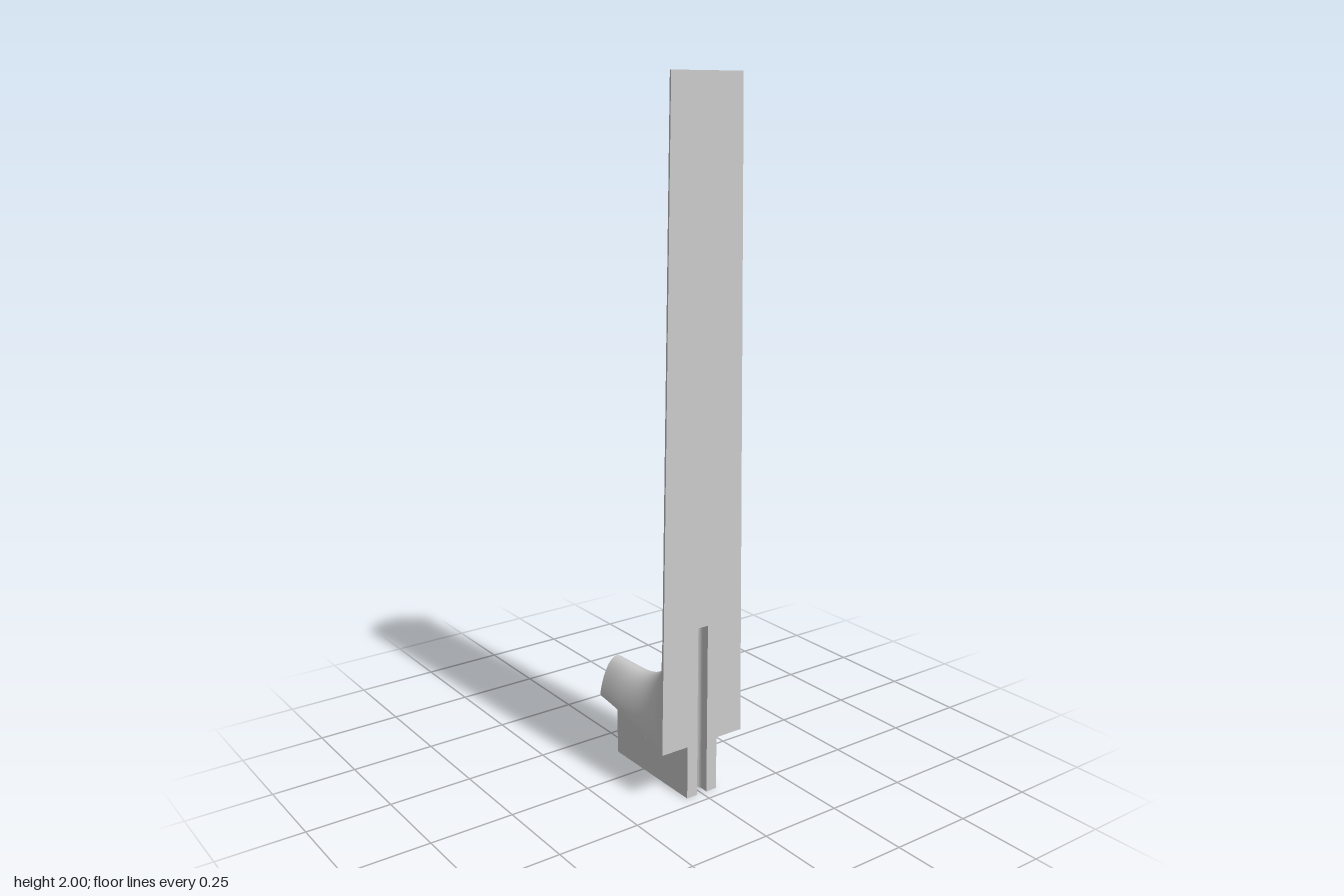
import * as THREE from 'three';

const FRONT = 0.215, BACK = -0.215, SOLE = 0.16, TOP = 2;
const SLOT = { half: 0.017, depth: 0.04, top: 0.51 };
const material = new THREE.MeshStandardMaterial({ color: 0xcccccc, side: THREE.DoubleSide });

// Half widths of the blade (by height) and of the foot (by depth)
const bladeHalf = (y) => 0.14 - 0.025 * (y - SOLE) / (TOP - SOLE);
const footHalf = (z) => {
  const t = (z - BACK) / (FRONT - BACK);
  return 0.062 + 0.045 * t + 0.033 * t * t;
};

// Surface through rows of points
function loft(rows) {
  const n = rows[0].length, index = [];
  for (let i = 0; i < rows.length - 1; i++) {
    for (let j = 0; j < n - 1; j++) {
      const a = i * n + j, b = a + n;
      index.push(a, b, b + 1, a, b + 1, a + 1);
    }
  }
  const g = new THREE.BufferGeometry().setFromPoints(rows.flat());
  g.setIndex(index);
  g.computeVertexNormals();
  return g;
}

// Arched section from a base point (y, z) to a ridge point (y, z)
function arch(half, by, bz, ry, rz) {
  const pts = [];
  for (let j = 0; j <= 40; j++) {
    const a = Math.PI * j / 40;
    const h = Math.pow(Math.max(0, Math.sin(a)), 1.5);
    pts.push(new THREE.Vector3(half * Math.cos(a), by + (ry - by) * h, bz + (rz - bz) * h));
  }
  return pts;
}

// Round-bottomed slot outline in (x, z), from -x to +x
function slotPath() {
  const { half, depth } = SLOT, pts = [new THREE.Vector2(-half, FRONT)];
  for (let i = 0; i <= 12; i++) {
    const a = Math.PI * i / 12;
    pts.push(new THREE.Vector2(-half * Math.cos(a), FRONT - depth + half - half * Math.sin(a)));
  }
  pts.push(new THREE.Vector2(half, FRONT));
  return pts;
}

export function createModel() {
  const group = new THREE.Group();
  const add = (name, geometry) => {
    const mesh = new THREE.Mesh(geometry, material);
    mesh.name = name;
    group.add(mesh);
  };
  const slot = slotPath();

  // Arched back: straight blade, fillet, then the foot
  const rows = [];
  for (let i = 0; i < 12; i++) {
    const y = TOP - 1.5 * i / 12;
    rows.push(arch(bladeHalf(y), y, FRONT, y, 0.142 - 0.014 * i / 12));
  }
  for (let i = 0; i <= 32; i++) {
    const t = i / 32, a = t * Math.PI / 2;
    const ry = 0.5 - 0.225 * Math.sin(a), rz = -0.1 + 0.228 * Math.cos(a);
    if (t <= 0.5) {
      const by = 0.5 + (SOLE - 0.5) * t * 2;
      rows.push(arch(bladeHalf(by), by, FRONT, ry, rz));
    } else {
      const bz = FRONT + (-0.1 - FRONT) * (t * 2 - 1);
      rows.push(arch(footHalf(bz), SOLE, bz, ry, rz));
    }
  }
  for (let i = 1; i <= 4; i++) {
    const z = -0.1 + (BACK + 0.1) * i / 4;
    rows.push(arch(footHalf(z), SOLE, z, 0.275, z));
  }
  add('bladeAndFootBack', loft(rows));

  // Flat ends of the blade and the foot
  const first = rows[0], last = rows[rows.length - 1];
  add('bladeTop', loft([first.map((p) => new THREE.Vector3(p.x, TOP, FRONT)), first]));
  add('footEnd', loft([last, last.map((p) => new THREE.Vector3(p.x, SOLE, BACK))]));

  // Flat front, cut by the slot
  const face = new THREE.Shape();
  face.moveTo(SLOT.half, SOLE);
  face.lineTo(0.14, SOLE);
  face.lineTo(bladeHalf(TOP), TOP);
  face.lineTo(-bladeHalf(TOP), TOP);
  face.lineTo(-0.14, SOLE);
  face.lineTo(-SLOT.half, SOLE);
  face.lineTo(-SLOT.half, SLOT.top);
  face.lineTo(SLOT.half, SLOT.top);
  add('bladeFront', new THREE.ShapeGeometry(face).translate(0, 0, FRONT));

  // Underside of the foot, tapering to the back
  const left = [], right = [];
  for (let i = 0; i <= 16; i++) {
    const z = FRONT + (BACK - FRONT) * i / 16;
    left.push(new THREE.Vector2(footHalf(z), z));
    right.unshift(new THREE.Vector2(-footHalf(z), z));
  }
  const sole = new THREE.Shape([...slot, ...left, ...right]);
  add('footUnderside', new THREE.ShapeGeometry(sole).rotateX(Math.PI / 2).translate(0, SOLE, 0));

  // Slot walls and roof inside the blade
  const level = (y) => slot.map((p) => new THREE.Vector3(p.x, y, p.y));
  add('slotWall', loft([level(SLOT.top), level(SOLE)]));
  add('slotRoof', loft([slot.map((p) => new THREE.Vector3(p.x, SLOT.top, FRONT)), level(SLOT.top)]));

  // Tenon below the foot, with rounded back corners and the slot running through
  const w = 0.052, r = 0.035, back = 0.16;
  const tenon = new THREE.Shape();
  tenon.moveTo(-w, -FRONT);
  slot.forEach((p) => tenon.lineTo(p.x, -p.y));
  tenon.lineTo(w, -FRONT);
  tenon.lineTo(w, back - r);
  tenon.absarc(w - r, back - r, r, 0, Math.PI / 2);
  tenon.absarc(-w + r, back - r, r, Math.PI / 2, Math.PI);
  tenon.lineTo(-w, -FRONT);
  add('tenon', new THREE.ExtrudeGeometry(tenon, { depth: SOLE, bevelEnabled: false, curveSegments: 12 })
    .rotateX(-Math.PI / 2));

  return group;
}
